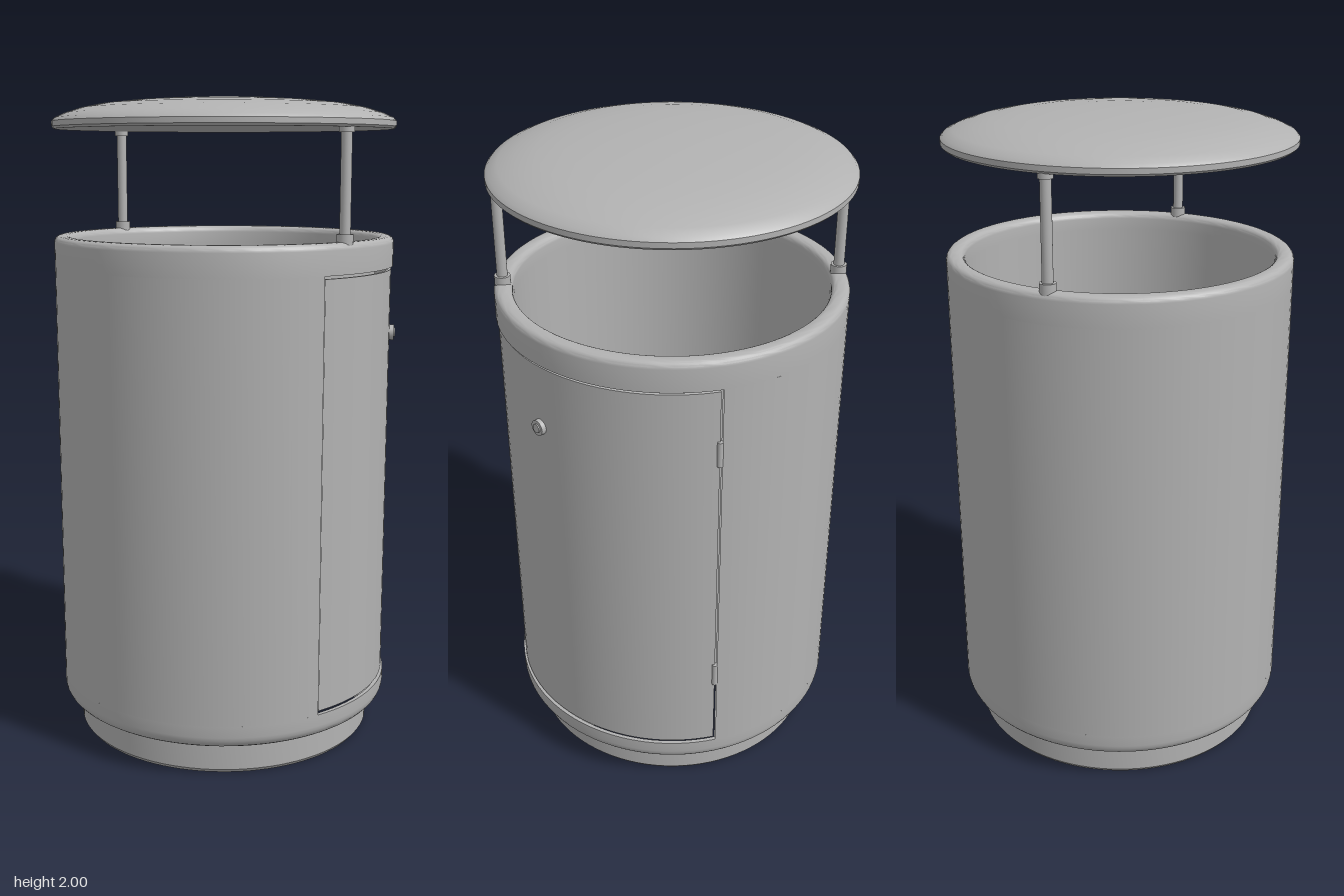
import * as THREE from 'three';
import { toCreasedNormals } from 'three/addons/utils/BufferGeometryUtils.js';

const DEG = Math.PI / 180;
const SEGMENTS = 96;
// Door arc, measured around y from +z towards +x
const DOOR_START = 79 * DEG, DOOR_END = 191 * DEG;
const DOOR_LOW = 0.182, DOOR_HIGH = 1.488, GAP = 0.006;

export function createModel() {
  const model = new THREE.Group();
  const steel = new THREE.MeshStandardMaterial({ color: 0xb2b2b2, side: THREE.DoubleSide });
  steel.name = 'grey steel';

  function add(name, geometry, parent = model) {
    const mesh = new THREE.Mesh(geometry, steel);
    mesh.name = name;
    parent.add(mesh);
    return mesh;
  }

  // Turned part from [radius, height] pairs, optionally only an arc of it
  function turned(name, points, start = 0, length = Math.PI * 2) {
    const profile = points.map(([r, y]) => new THREE.Vector2(r, y));
    const count = Math.round(SEGMENTS * length / (Math.PI * 2));
    return add(name, toCreasedNormals(new THREE.LatheGeometry(profile, count, start, length), 0.6));
  }

  // Corner points of a curved edge
  function arc(cx, cy, r, from, to, steps = 5) {
    return Array.from({ length: steps + 1 }, (_, i) => {
      const a = (from + (to - from) * i / steps) * DEG;
      return [cx + r * Math.cos(a), cy + r * Math.sin(a)];
    });
  }

  // Open skirt and the rounded lower edge of the body
  turned('base', [
    [0.455, 0.1], [0.455, 0], [0.463, 0], [0.472, 0.012], [0.472, 0.09],
  ]);
  turned('lowerBody', [
    [0.472, 0.088], [0.486, 0.1], ...arc(0.487, 0.14, 0.04, -80, 0), [0.527, DOOR_LOW - GAP],
    [0.515, DOOR_LOW - GAP], [0.515, 0.14], [0.48, 0.11], [0.455, 0.1],
  ]);

  // Main wall, open where the door sits
  turned('bodyWall', [
    [0.515, DOOR_LOW - GAP], [0.527, DOOR_LOW - GAP],
    [0.527, DOOR_HIGH + GAP], [0.515, DOOR_HIGH + GAP], [0.515, DOOR_LOW - GAP],
  ], DOOR_END, Math.PI * 2 - (DOOR_END - DOOR_START));

  // Rolled rim
  turned('rim', [
    [0.515, DOOR_HIGH + GAP], [0.527, DOOR_HIGH + GAP],
    ...arc(0.507, 1.565, 0.02, 0, 90), ...arc(0.492, 1.565, 0.02, 90, 180), [0.472, 1.53],
  ]);

  // Inner container with a raised floor
  turned('liner', [[0, 0.36], [0.472, 0.36], [0.472, 1.53]]);

  // Service door, knob and hinges
  const margin = 0.6 * DEG;
  turned('door', [
    [0.512, DOOR_LOW + GAP / 2], [0.521, DOOR_LOW + GAP / 2],
    [0.521, DOOR_HIGH - GAP / 2], [0.512, DOOR_HIGH - GAP / 2], [0.512, DOOR_LOW + GAP / 2],
  ], DOOR_START + margin, DOOR_END - DOOR_START - 2 * margin);

  const lock = new THREE.Group();
  lock.name = 'doorLock';
  lock.rotation.y = 129.5 * DEG;
  model.add(lock);
  [['lockBody', 0.024, 0.024], ['lockCore', 0.014, 0.028]].forEach(([name, r, depth]) => {
    const part = add(name, new THREE.CylinderGeometry(r, r, depth, 24), lock);
    part.rotation.x = Math.PI / 2;
    part.position.set(0, 1.285, 0.511 + depth / 2);
  });

  for (const y of [0.46, 1.285]) {
    const hinge = add('hinge', new THREE.CylinderGeometry(0.009, 0.009, 0.08, 16));
    const a = DOOR_END - 0.6 * DEG;
    hinge.position.set(0.522 * Math.sin(a), y, 0.522 * Math.cos(a));
  }

  // Posts with collars at both ends
  for (const side of [-1, 1]) {
    const post = new THREE.Group();
    post.name = 'roofPost';
    post.position.x = side * 0.5;
    model.add(post);
    [['postRod', 0.016, 1.58, 1.908], ['lowerCollar', 0.024, 1.575, 1.607],
      ['upperCollar', 0.022, 1.89, 1.908]].forEach(([name, r, low, high]) => {
      add(name, new THREE.CylinderGeometry(r, r, high - low, 24), post).position.y = (low + high) / 2;
    });
  }

  // Shallow domed roof with a flat underside
  turned('roof', [
    [0, 1.905], [0.52, 1.905], [0.527, 1.912], [0.527, 1.928], [0.518, 1.938], [0.49, 1.951],
    [0.44, 1.967], [0.38, 1.979], [0.3, 1.988], [0.2, 1.995], [0.1, 1.999], [0, 2],
  ]);

  return model;
}
